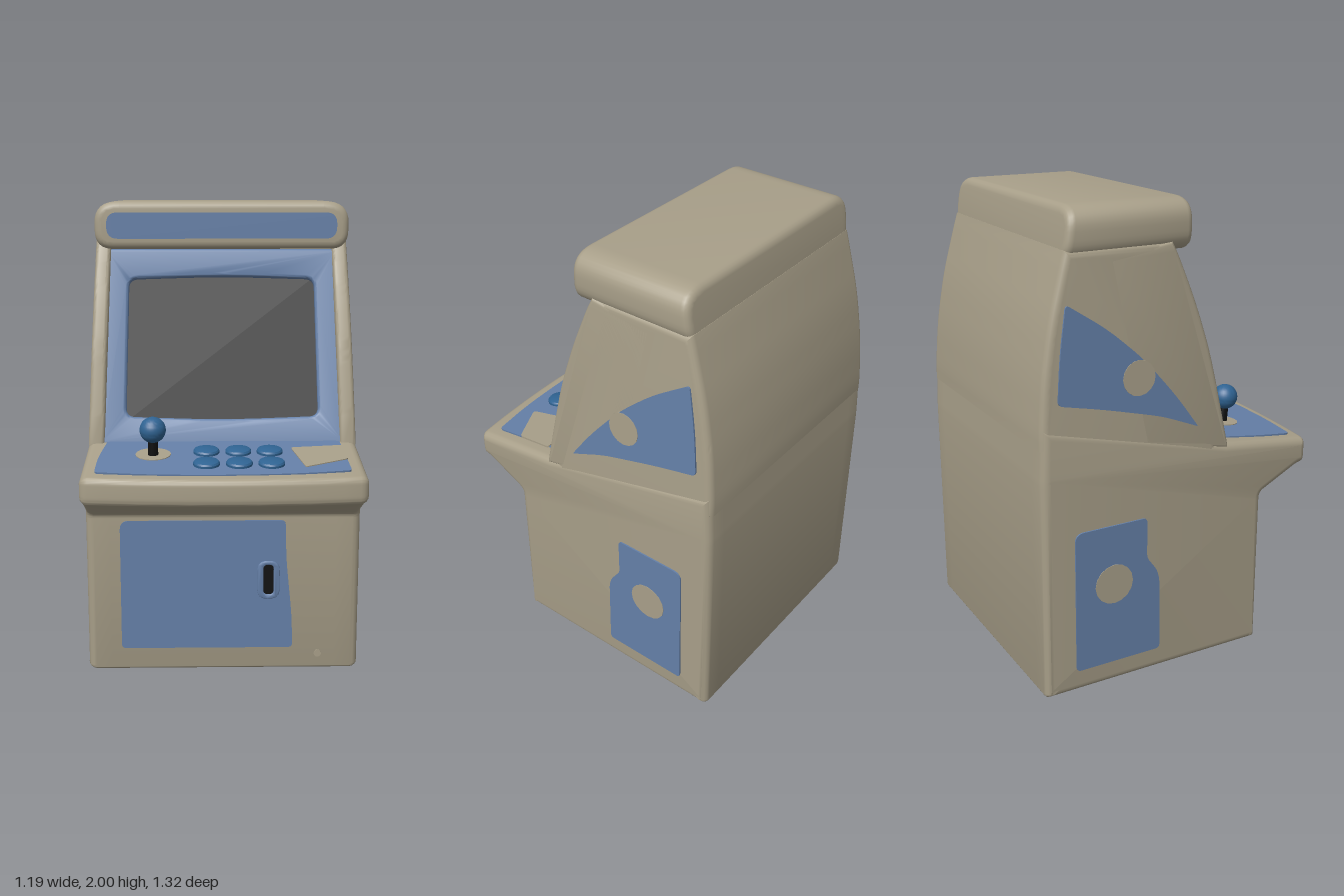
import * as THREE from 'three';
import { toCreasedNormals } from 'three/addons/utils/BufferGeometryUtils.js';

const paint = (name, color) => {
  const m = new THREE.MeshStandardMaterial({ color });
  m.name = name;
  return m;
};

// Closed outline with softened corners; a point is [x, y, optional radius]
function outline(points, radius = 0.02, path = new THREE.Shape()) {
  const v = points.map(p => new THREE.Vector2(p[0], p[1]));
  v.forEach((p, i) => {
    const prev = v[(i + v.length - 1) % v.length], next = v[(i + 1) % v.length];
    const r = points[i][2] ?? radius;
    const toward = q => p.clone().lerp(q, Math.min(0.45, r / p.distanceTo(q)));
    const a = toward(prev), b = toward(next);
    if (i === 0) path.moveTo(a.x, a.y); else path.lineTo(a.x, a.y);
    if (r > 0) path.quadraticCurveTo(p.x, p.y, b.x, b.y);
  });
  path.closePath();
  return path;
}

const rect = (x0, y0, x1, y1) => [[x0, y0], [x1, y0], [x1, y1], [x0, y1]];
const disc = (x, y, r) => new THREE.Shape().absarc(x, y, r, 0, Math.PI * 2);

// Slab centred on its thickness, with rounded rims
function slab(shape, thickness, bevel = 0, steps = 1) {
  const depth = thickness - 2 * bevel;
  const g = new THREE.ExtrudeGeometry(shape, {
    depth, steps, curveSegments: 8, bevelEnabled: bevel > 0, bevelThickness: bevel,
    bevelSize: bevel, bevelOffset: -bevel, bevelSegments: 4,
  });
  return g.translate(0, 0, -depth / 2);
}

// Slab drawn in (z, y) and thick along x
const sideSlab = (shape, thickness, bevel, steps) =>
  slab(shape, thickness, bevel, steps).rotateY(-Math.PI / 2);

function warp(geometry, rule) {
  const p = geometry.attributes.position, v = new THREE.Vector3();
  for (let i = 0; i < p.count; i++) {
    rule(v.fromBufferAttribute(p, i));
    p.setXYZ(i, v.x, v.y, v.z);
  }
  return geometry;
}

const HALF = 0.582;
const taper = v => { v.x *= 1 - 0.035 * (v.y - 1) / HALF; };

export function createModel() {
  const cream = paint('cream shell', 0xa89f89);
  const blue = paint('blue panel', 0x6580a8);
  const deepBlue = paint('deep blue controls', 0x2f6392);
  const black = paint('black', 0x111111);

  const model = new THREE.Group();
  model.name = 'arcadeCabinet';
  const add = (name, geometry, material, parent = model) => {
    const mesh = new THREE.Mesh(toCreasedNormals(geometry, 0.6), material);
    mesh.name = name;
    parent.add(mesh);
    return mesh;
  };

  // Lower cabinet with the projecting, bowed control shelf
  const lower = outline([
    [0.39, 0], [0.39, 0.705], [0.61, 0.8], [0.66, 0.81, 0.035], [0.66, 0.92, 0.03],
    [0.2, 0.97, 0], [-0.645, 1.17, 0], [-0.655, 0.95], [-0.655, 0],
  ]);
  add('lowerCabinet', warp(sideSlab(lower, 1.17, 0.035, 16), v => {
    if (v.z > 0.39) v.z -= (v.z - 0.39) / 0.27 * 0.04 * (v.x / 0.585) ** 2;
  }), cream);

  // Upper cabinet, set back behind the screen surround
  const upper = outline([
    [0.15, 0.97, 0], [-0.095, 1.79, 0], [-0.1, 1.84, 0], [-0.525, 1.84, 0], [-0.54, 1.79],
    [-0.6, 1.57, 0.09], [-0.637, 1.35, 0.09], [-0.652, 1.15, 0.05], [-0.652, 1.08, 0], [0.15, 0.92, 0],
  ]);
  add('upperCabinet', warp(sideSlab(upper, HALF * 2, 0.03), taper), cream);

  // Cheeks beside the screen
  const cheek = outline([
    [0.207, 0.95, 0], [0.207, 0.97, 0], [0.165, 1.17, 0.09], [0.117, 1.38, 0.09], [0.048, 1.59, 0.09],
    [-0.03, 1.78, 0.05], [-0.06, 1.84, 0], [-0.35, 1.8, 0], [-0.2, 1.03, 0],
  ]);
  for (const s of [-1, 1]) {
    const g = sideSlab(cheek, 0.07, 0.018).translate(s * (HALF - 0.035), 0, 0);
    add(s > 0 ? 'leftCheek' : 'rightCheek', warp(g, taper), cream);
  }

  // Sign box on top, leaning back slightly at the rear
  const sign = outline([[-0.553, 1.795, 0.08], [0.553, 1.795, 0.08], [0.553, 2, 0.11], [-0.553, 2, 0.11]]);
  add('signBox', warp(slab(sign, 0.535, 0.03).translate(0, 0, -0.2325), v => {
    if (v.z < -0.3) v.z -= (2 - v.y) * 0.15;
  }), cream);
  add('signPanel', slab(outline(rect(-0.5, 1.84, 0.5, 1.952), 0.05), 0.008).translate(0, 0, 0.036), blue);

  // Tilted screen surround and screen
  const display = new THREE.Group();
  display.name = 'display';
  display.position.set(0, 0.97, 0.195);
  display.rotation.x = -0.29;
  model.add(display);
  const surround = outline([[-0.54, -0.01], [0.54, -0.01], [0.515, 0.86], [-0.515, 0.86]], 0);
  surround.holes.push(outline([
    [-0.42, 0.115, 0.04], [0, 0.1, 0.3], [0.42, 0.115, 0.04],
    [0.408, 0.725, 0.04], [0, 0.738, 0.3], [-0.408, 0.725, 0.04],
  ], 0.04, new THREE.Path()));
  add('screenSurround', slab(surround, 0.04, 0.015).translate(0, 0, -0.02), blue, display);
  add('screen', slab(outline(rect(-0.44, 0.08, 0.44, 0.76), 0), 0.008).translate(0, 0, -0.032), black, display);

  // Control deck: flat shapes drawn in (x, -z) and laid on the shelf
  const deck = new THREE.Group();
  deck.name = 'controlDeck';
  deck.position.set(0, 0.97, 0.2);
  deck.rotation.x = 0.109;
  model.add(deck);
  const lay = (name, shape, top, material) =>
    add(name, slab(shape, 0.008).rotateX(-Math.PI / 2).translate(0, top - 0.004, 0), material, deck);
  lay('deckPanel', outline([
    [-0.5, 0.005], [0.51, 0.005], [0.52, -0.36], [0.3, -0.395, 0.15],
    [0, -0.408, 0.15], [-0.3, -0.4, 0.15], [-0.525, -0.37], [-0.525, -0.2, 0.1],
  ]), 0.005, blue);
  lay('stickPlate', disc(-0.295, -0.163, 0.075), 0.008, cream);
  lay('cardPlate', outline([[0.29, -0.09], [0.52, -0.06], [0.52, -0.23], [0.335, -0.325]], 0.015), 0.009, cream);

  // Joystick
  add('stickShaft', new THREE.CylinderGeometry(0.02, 0.022, 0.1, 20).translate(-0.295, 0.05, 0.17), black, deck);
  add('stickBall', new THREE.SphereGeometry(0.055, 32, 20).translate(-0.295, 0.117, 0.17), deepBlue, deck);

  // Two rows of three buttons
  const dome = [[0.055, 0], [0.055, 0.014], [0.05, 0.021], [0.035, 0.026], [0, 0.028]]
    .map(p => new THREE.Vector2(...p));
  for (const z of [0.14, 0.287])
    for (const x of [-0.071, 0.064, 0.197])
      add('button', new THREE.LatheGeometry(dome, 28).translate(x, 0, z), deepBlue, deck);

  // Front door with its coin slot and a small lock
  add('frontDoor', slab(outline([
    [-0.44, 0.1], [0.3, 0.1], [0.295, 0.25, 0.05], [0.27, 0.5, 0.05], [0.265, 0.675], [-0.44, 0.675, 0.04],
  ]), 0.008).translate(0, 0, 0.39), blue);
  const rim = outline(rect(0.145, 0.325, 0.242, 0.495), 0.045);
  rim.holes.push(outline(rect(0.172, 0.345, 0.216, 0.478), 0.02, new THREE.Path()));
  add('slotRim', slab(rim, 0.016, 0.005).translate(0, 0, 0.394), blue);
  add('slot', slab(outline(rect(0.17, 0.343, 0.218, 0.48), 0.02), 0.008).translate(0, 0, 0.392), black);
  add('lock', new THREE.CylinderGeometry(0.016, 0.016, 0.006, 16).rotateX(Math.PI / 2).translate(0.41, 0.07, 0.391), cream);

  // Painted side panels with round badges, on both sides
  const lowerPanel = outline([
    [-0.125, 0.1], [-0.52, 0.1], [-0.52, 0.72, 0.04], [-0.19, 0.72], [-0.19, 0.54], [-0.13, 0.46, 0.05],
  ]);
  const upperPanel = outline([
    [0.05, 1.075, 0.01], [-0.05, 1.215, 0.08], [-0.2, 1.39, 0.08], [-0.36, 1.53, 0.08], [-0.535, 1.645],
    [-0.565, 1.45, 0.08], [-0.58, 1.26], [-0.38, 1.215, 0.08], [-0.12, 1.145, 0.06],
  ]);
  for (const s of [-1, 1]) {
    const side = s > 0 ? 'left' : 'right';
    const place = (name, shape, x, material, rule) =>
      add(side + name, warp(sideSlab(shape, 0.009).translate(s * x, 0, 0), rule), material);
    place('LowerPanel', lowerPanel, 0.587, blue, () => {});
    place('LowerBadge', disc(-0.345, 0.46, 0.087), 0.589, cream, () => {});
    place('UpperPanel', upperPanel, HALF + 0.003, blue, taper);
    place('UpperBadge', disc(-0.225, 1.32, 0.073), HALF + 0.005, cream, taper);
  }
  return model;
}
